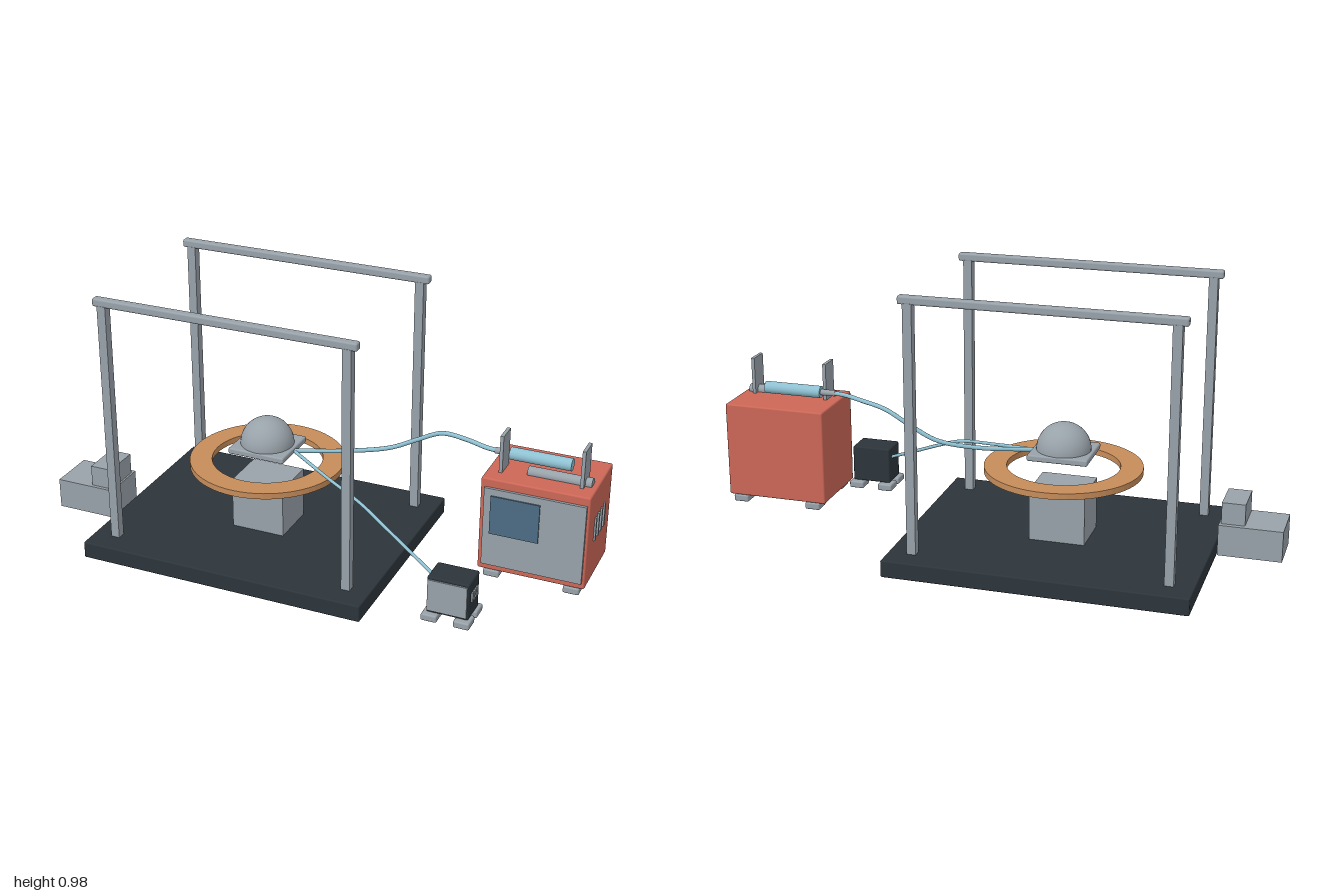
import * as THREE from 'three';
import { RoundedBoxGeometry } from 'three/addons/geometries/RoundedBoxGeometry.js';

const mat = (name, color) => {
  const m = new THREE.MeshStandardMaterial({ color });
  m.name = name;
  return m;
};

export function createModel() {
  const steel = mat('steel grey', 0x98a2a9);
  const dark = mat('charcoal', 0x2c353b);
  const red = mat('coral red', 0xcc6757);
  const wood = mat('copper orange', 0xc68c5a);
  const blue = mat('pale blue', 0x8fc1d2);
  const glass = mat('screen blue', 0x4c6c84);
  const root = new THREE.Group();

  const add = (name, geo, m, parent = root) => {
    const mesh = new THREE.Mesh(geo, m);
    mesh.name = name;
    parent.add(mesh);
    return mesh;
  };
  // Box given by its extents; r > 0 rounds the edges
  const box = (name, m, [x0, x1], [y0, y1], [z0, z1], r = 0, parent = root) => {
    const s = [x1 - x0, y1 - y0, z1 - z0];
    const geo = r ? new RoundedBoxGeometry(...s, 2, r) : new THREE.BoxGeometry(...s);
    const mesh = add(name, geo, m, parent);
    mesh.position.set((x0 + x1) / 2, (y0 + y1) / 2, (z0 + z1) / 2);
    return mesh;
  };
  // Cylinder lying along x
  const rod = (name, m, x0, x1, y, z, r) => {
    const mesh = add(name, new THREE.CylinderGeometry(r, r, x1 - x0, 24).rotateZ(Math.PI / 2), m);
    mesh.position.set((x0 + x1) / 2, y, z);
  };
  const tube = (name, pts, r) => add(name, new THREE.TubeGeometry(
    new THREE.CatmullRomCurve3(pts.map(p => new THREE.Vector3(...p))), 48, r, 10), blue);

  // Base and two rail frames
  const cx = -0.225;
  box('base', dark, [-0.76, 0.31], [0, 0.062], [-0.418, 0.418], 0.005);
  for (const z of [-0.323, 0.323]) {
    for (const x of [-0.675, 0.225]) {
      box('post', steel, [x - 0.016, x + 0.016], [0.06, 0.952], [z - 0.016, z + 0.016]);
    }
    box('topRail', steel, [-0.71, 0.26], [0.948, 0.977], [z - 0.016, z + 0.016], 0.007);
  }

  // Pedestal, stage plate and dome
  box('pedestal', steel, [cx - 0.1, cx + 0.1], [0.06, 0.25], [-0.09, 0.09]);
  box('stagePlate', steel, [cx - 0.108, cx + 0.108], [0.357, 0.38], [-0.1, 0.1], 0.006);
  const dome = add('dome', new THREE.SphereGeometry(0.097, 32, 16, 0, Math.PI * 2, 0, Math.PI / 2), steel);
  dome.position.set(cx, 0.379, 0);

  // Flat ring around the stage
  const ringShape = new THREE.Shape().absarc(0, 0, 0.28, 0, Math.PI * 2);
  ringShape.holes.push(new THREE.Path().absarc(0, 0, 0.2, 0, Math.PI * 2, true));
  const ringGeo = new THREE.ExtrudeGeometry(ringShape, { depth: 0.022, bevelEnabled: false, curveSegments: 32 });
  add('ring', ringGeo.rotateX(-Math.PI / 2), wood).position.set(cx, 0.298, 0);

  // Side unit with its smaller head
  box('sideUnit', steel, [-1, -0.775], [0.04, 0.152], [0.012, 0.186]);
  box('sideUnitHead', steel, [-0.865, -0.782], [0.152, 0.23], [0.03, 0.173]);

  // Cabinet with front panel, feet and side vents
  const cabinet = (name, m, xs, ys, zs, o) => {
    const g = new THREE.Group();
    g.name = name;
    root.add(g);
    box('cabinetBody', m, xs, ys, zs, 0.006, g);
    box('frontPanel', steel, o.panelX, o.panelY, [zs[1] - 0.002, zs[1] + o.panelDepth], 0, g);
    for (const x of o.footX) for (const z of o.footZ) {
      box('foot', steel, [x - 0.028, x + 0.028], [ys[0] - 0.026, ys[0]], [z - 0.031, z + 0.031], 0.006, g);
    }
    for (const z of o.ventZ) {
      box('vent', steel, [xs[1] - 0.002, xs[1] + 0.006], o.ventY, [z - o.ventW / 2, z + o.ventW / 2], 0, g);
    }
    return g;
  };
  const pump = cabinet('pumpCabinet', red, [0.62, 0.994], [0.131, 0.476], [-0.154, 0.121], {
    panelX: [0.635, 0.985], panelY: [0.155, 0.445], panelDepth: 0.01,
    footX: [0.67, 0.95], footZ: [-0.124, 0.093],
    ventZ: [0.04, 0.004, -0.032, -0.068], ventY: [0.28, 0.367], ventW: 0.012,
  });
  box('screen', glass, [0.66, 0.83], [0.278, 0.42], [0.129, 0.136], 0, pump);
  cabinet('smallCabinet', dark, [0.528, 0.675], [0.07, 0.206], [0.26, 0.365], {
    panelX: [0.532, 0.67], panelY: [0.08, 0.197], panelDepth: 0.006,
    footX: [0.543, 0.657], footZ: [0.271, 0.353],
    ventZ: [0.336, 0.321, 0.306, 0.291], ventY: [0.13, 0.164], ventW: 0.011,
  });

  // Syringe, plunger and brackets on the pump
  for (const x of [0.668, 0.947]) {
    box('bracket', steel, [x - 0.006, x + 0.006], [0.474, 0.61], [-0.008, 0.065]);
  }
  rod('syringe', blue, 0.675, 0.89, 0.51, -0.022, 0.022);
  rod('nozzle', steel, 0.62, 0.695, 0.51, -0.022, 0.011);
  rod('plunger', steel, 0.755, 0.975, 0.482, 0.028, 0.019);

  // Flexible lines to the stage
  tube('upperTube', [[-0.12, 0.366, 0], [0.07, 0.375, -0.065], [0.21, 0.4, -0.1], [0.31, 0.45, -0.105],
    [0.4, 0.495, -0.098], [0.5, 0.507, -0.065], [0.59, 0.51, -0.027], [0.63, 0.51, -0.022]], 0.008);
  tube('lowerTube', [[-0.12, 0.366, 0], [0.05, 0.336, 0.09], [0.21, 0.306, 0.167], [0.3, 0.27, 0.205],
    [0.42, 0.216, 0.25], [0.535, 0.165, 0.295]], 0.006);

  return root;
}
